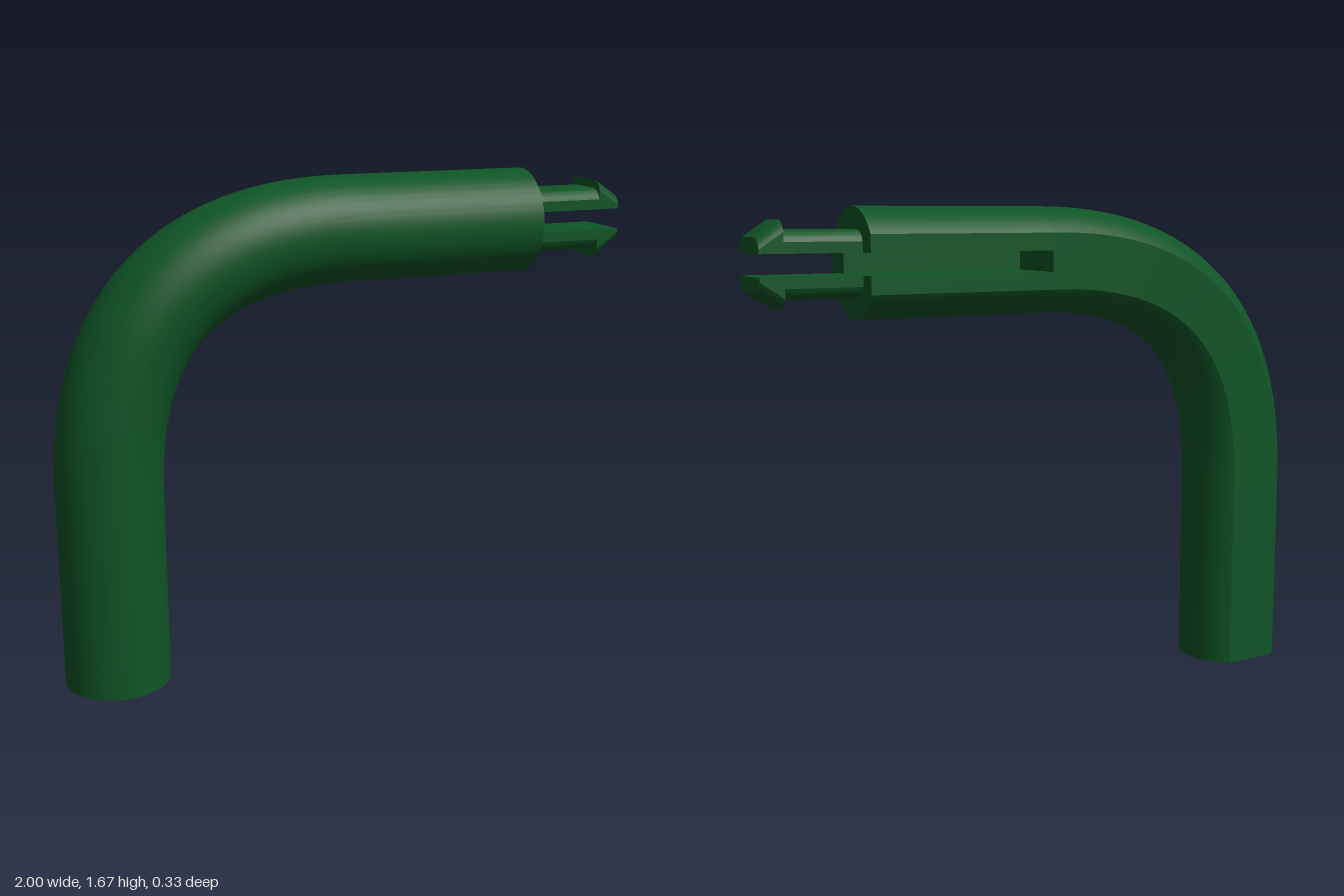
import * as THREE from 'three';
import { toCreasedNormals } from 'three/addons/utils/BufferGeometryUtils.js';

const RADIUS = 0.178;      // tube radius
const LEG_X = -0.822;      // centre line of the leg
const AXIS_Y = 1.494;      // centre line of the arm
const BEND_Y = 0.675;      // height where the bend starts
const SLOT_X = 0.03;       // inner end of the slot
const END_X = 0.67;        // open end of the arm
const GAP = 0.035;         // half height of the slot and of the prong gap
const STEPS = 28;

// Round section with a flat back; shape x runs towards the back (-z)
function tubeSection(slotted) {
  const a = Math.acos(0.152 / RADIUS);
  const s = new THREE.Shape();
  s.absarc(0.013, 0, RADIUS, a, Math.PI * 2 - a, false);
  if (slotted) {
    s.lineTo(0.165, -GAP);
    s.lineTo(-0.065, -GAP);
    s.lineTo(-0.065, GAP);
    s.lineTo(0.165, GAP);
  }
  s.closePath();
  return s;
}

// Extrude a section in whole steps, then place each vertex by a rule
function sweep(shape, steps, curveSegments, place) {
  const g = new THREE.ExtrudeGeometry(shape, { depth: steps, steps, curveSegments, bevelEnabled: false });
  const p = g.attributes.position;
  for (let i = 0; i < p.count; i++) {
    p.setXYZ(i, ...place(p.getX(i), p.getY(i), Math.round(p.getZ(i))));
  }
  return toCreasedNormals(g, 0.4);
}

export function createModel() {
  const group = new THREE.Group();
  const green = new THREE.MeshStandardMaterial({ color: 0x0f5526 });
  green.name = 'dark green';

  const add = (name, geometry) => {
    const mesh = new THREE.Mesh(geometry, green);
    mesh.name = name;
    group.add(mesh);
    return mesh;
  };

  // Upright leg, bend and the start of the arm
  const bend = new THREE.QuadraticBezierCurve(
    new THREE.Vector2(LEG_X, BEND_Y),
    new THREE.Vector2(LEG_X, AXIS_Y),
    new THREE.Vector2(0, AXIS_Y));
  add('bentTube', sweep(tubeSection(false), STEPS + 2, 48, (u, v, s) => {
    if (s === 0) return [LEG_X - v, 0, -u];
    if (s === STEPS + 2) return [SLOT_X, AXIS_Y + v, -u];
    const t = (s - 1) / STEPS;
    const c = bend.getPoint(t), d = bend.getTangent(t);
    return [c.x - d.y * v, c.y + d.x * v, -u];
  }));

  // Straight arm with a slot cut in from the back
  add('slottedArm', sweep(tubeSection(true), 1, 48, (u, v, s) =>
    [s ? END_X : SLOT_X, AXIS_Y + v, -u]));

  // Snap prongs: a plain shank, then a barb tapering to the tip
  const section = new THREE.Shape();
  section.moveTo(-0.1, GAP);
  section.lineTo(0.1, GAP);
  section.lineTo(0.1, 0.1);
  section.quadraticCurveTo(0.09, 0.13, 0.06, 0.136);
  section.lineTo(-0.06, 0.136);
  section.quadraticCurveTo(-0.09, 0.13, -0.1, 0.1);
  section.closePath();
  const stations = [[0.66, 0.03], [0.922, 0.03], [0.922, 0], [1, 0.052]]; // x, drop of the outer face
  const prong = sweep(section, 3, 5, (u, v, s) => {
    const [x, drop] = stations[s];
    return [x, v > GAP + 0.001 ? v - drop : v, -u];
  });
  add('upperProng', prong).position.y = AXIS_Y;
  const lower = add('lowerProng', prong);
  lower.position.y = AXIS_Y;
  lower.rotation.x = Math.PI;

  return group;
}
